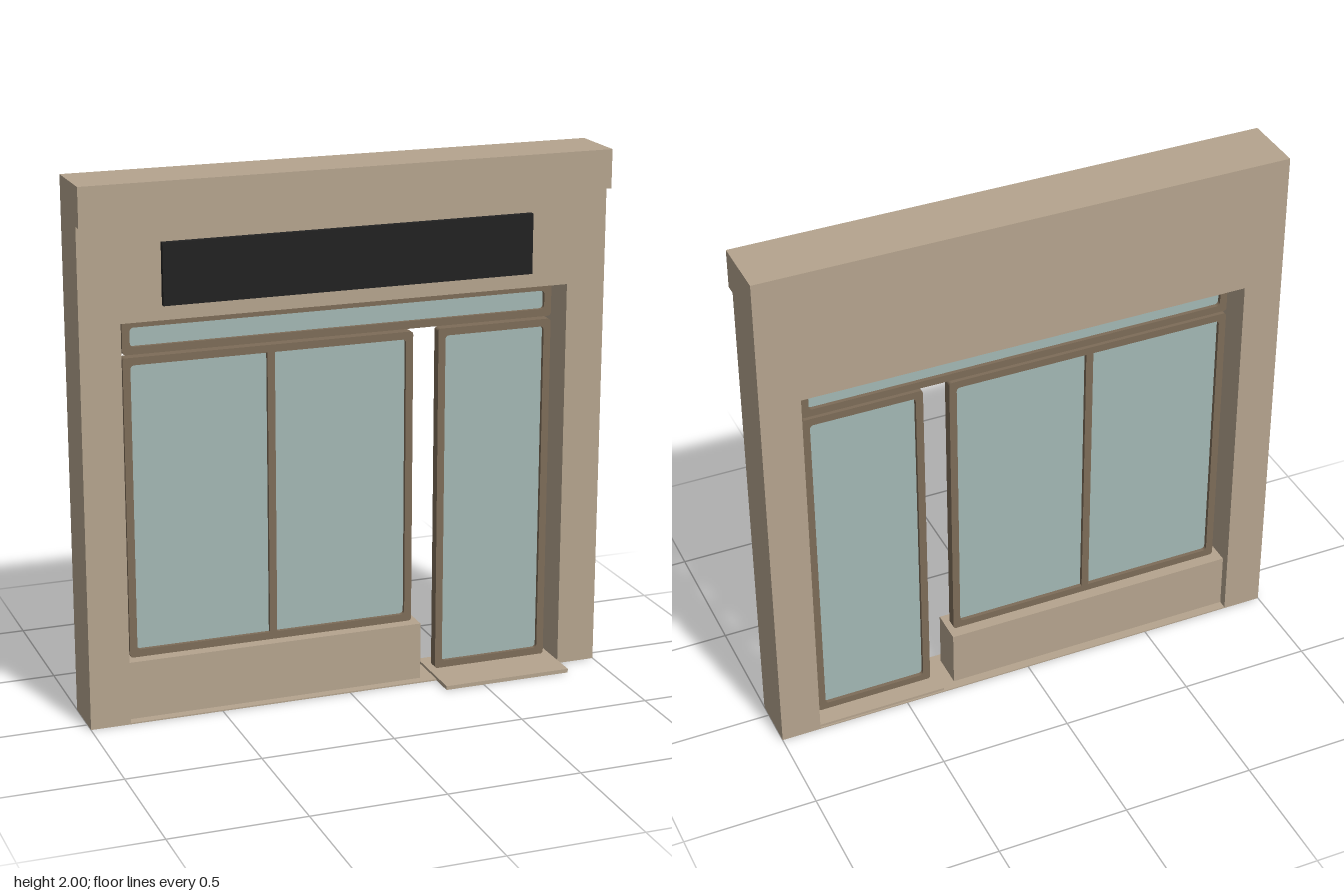
import * as THREE from 'three';

const mat = (name, color) => {
  const m = new THREE.MeshStandardMaterial({ color });
  m.name = name;
  return m;
};

export function createModel() {
  const group = new THREE.Group();
  const stone = mat('stone', 0xb5a48e);
  const frameBrown = mat('frame brown', 0x7d6c58);
  const glass = mat('glass', 0xa3b8b4);
  const black = mat('sign black', 0x222222);

  function add(name, geometry, material) {
    const mesh = new THREE.Mesh(geometry, material);
    mesh.name = name;
    group.add(mesh);
    return mesh;
  }

  // Box given by its limits on each axis
  function box(name, [x0, x1], [y0, y1], [z0, z1], material) {
    const mesh = add(name, new THREE.BoxGeometry(x1 - x0, y1 - y0, z1 - z0), material);
    mesh.position.set((x0 + x1) / 2, (y0 + y1) / 2, (z0 + z1) / 2);
  }

  // Rectangle with rounded corners, as a shape or a hole
  function roundedRect(path, x0, x1, y0, y1, r) {
    path.absarc(x1 - r, y0 + r, r, -Math.PI / 2, 0);
    path.absarc(x1 - r, y1 - r, r, 0, Math.PI / 2);
    path.absarc(x0 + r, y1 - r, r, Math.PI / 2, Math.PI);
    path.absarc(x0 + r, y0 + r, r, Math.PI, Math.PI * 1.5);
    path.closePath();
    return path;
  }

  // Glazed frame set back in the opening
  function glazing(name, x0, x1, y0, y1) {
    const w = 0.028;
    const shape = roundedRect(new THREE.Shape(), x0, x1, y0, y1, 0.012);
    shape.holes.push(roundedRect(new THREE.Path(), x0 + w, x1 - w, y0 + w, y1 - w, 0.014));
    const geometry = new THREE.ExtrudeGeometry(shape, { depth: 0.04, bevelEnabled: false, curveSegments: 4 });
    geometry.translate(0, 0, -0.07);
    add(name + 'Frame', geometry, frameBrown);
    const g = w - 0.006;
    box(name + 'Glass', [x0 + g, x1 - g], [y0 + g, y1 - g], [-0.055, -0.045], glass);
  }

  // Wall with its large opening, thin floor strip included
  const wall = new THREE.Shape([[-1, 0], [1, 0], [1, 2], [-1, 2]].map(p => new THREE.Vector2(...p)));
  wall.holes.push(new THREE.Path(
    [[-0.85, 0.005], [-0.85, 1.5], [0.85, 1.5], [0.85, 0.005]].map(p => new THREE.Vector2(...p))));
  const wallGeometry = new THREE.ExtrudeGeometry(wall, { depth: 0.2, bevelEnabled: false });
  wallGeometry.translate(0, 0, -0.15);
  add('wall', wallGeometry, stone);

  // Stone and sign parts
  box('cornice', [-1, 1], [1.855, 2], [0.05, 0.09], stone);
  box('signBoard', [-0.7, 0.7], [1.555, 1.78], [0.05, 0.07], black);
  box('windowBase', [-0.85, 0.295], [0.005, 0.225], [-0.115, 0.015], stone);
  box('doorStep', [0.348, 0.848], [0, 0.015], [-0.145, 0.15], stone);

  // Windows and door
  glazing('transom', -0.825, 0.825, 1.364, 1.49);
  glazing('window', -0.825, 0.274, 0.225, 1.353);
  glazing('door', 0.374, 0.825, 0.014, 1.353);
  box('windowMullion', [-0.288, -0.26], [0.245, 1.333], [-0.07, -0.03], frameBrown);

  return group;
}
